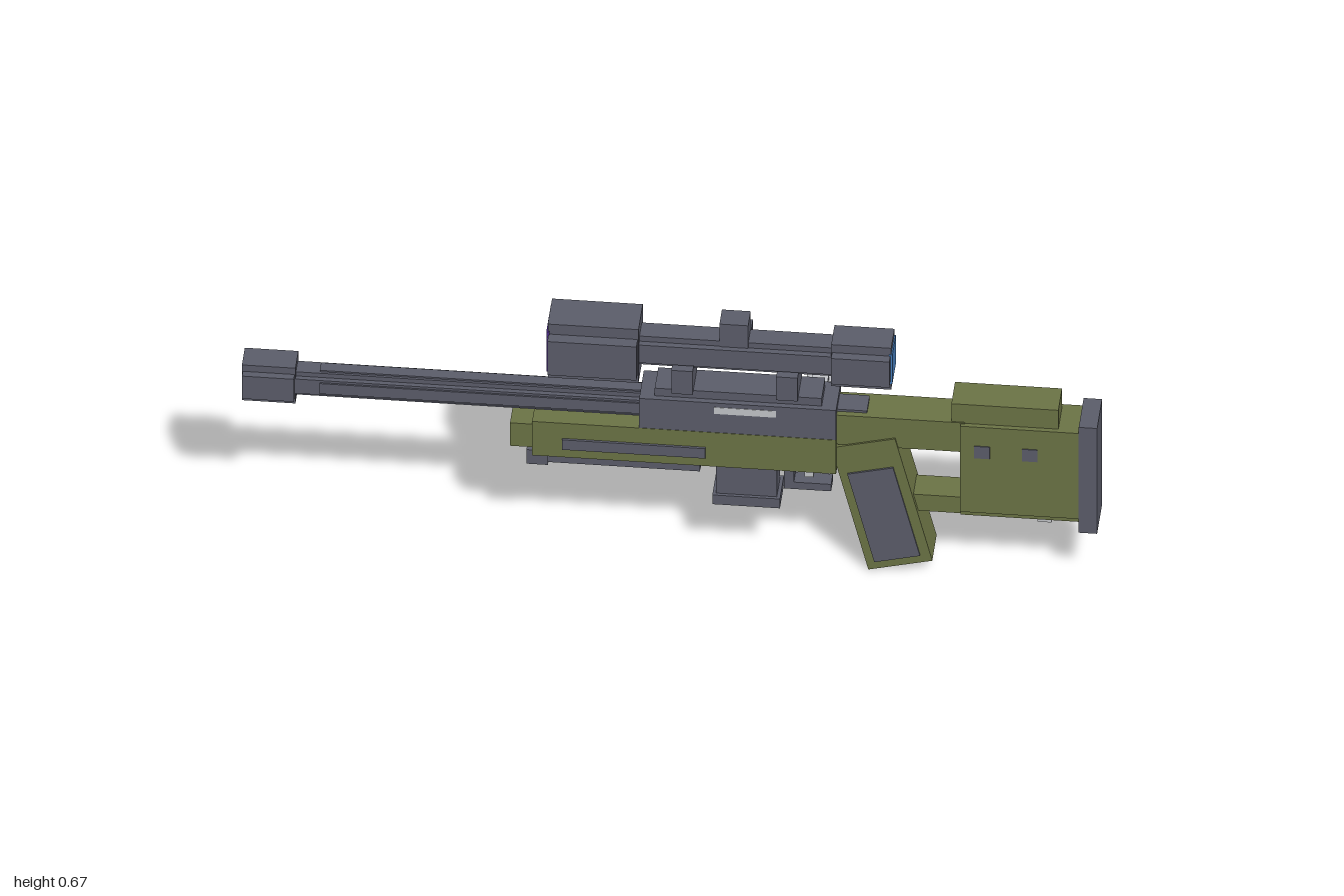
import * as THREE from 'three';

const mat = (name, color) => {
  const m = new THREE.MeshStandardMaterial({ color });
  m.name = name;
  return m;
};

export function createModel() {
  const gun = new THREE.Group();
  gun.name = 'rifle';
  const metal = mat('gunmetal', 0x5c5e6b);
  const olive = mat('olive', 0x6d7546);
  const steel = mat('lightSteel', 0xc6c8cc);
  const blue = mat('blueLens', 0x4880c0);
  const purple = mat('purpleLens', 0x4c2c88);
  const Z = 0.046; // centre plane of the rifle

  // box from its limits along each axis
  const box = (name, m, x0, x1, y0, y1, z0, z1, parent = gun) => {
    const mesh = new THREE.Mesh(new THREE.BoxGeometry(x1 - x0, y1 - y0, z1 - z0), m);
    mesh.position.set((x0 + x1) / 2, (y0 + y1) / 2, (z0 + z1) / 2);
    mesh.name = name;
    parent.add(mesh);
    return mesh;
  };
  // box of width w, symmetric about the centre plane
  const mid = (name, m, x0, x1, y0, y1, w, parent) =>
    box(name, m, x0, x1, y0, y1, Z - w / 2, Z + w / 2, parent);
  // two crossed boxes forming a stepped round section, a = long side, b = short side
  const round = (name, m, x0, x1, y, a, b) => {
    const g = new THREE.Group();
    g.name = name;
    mid('tall', m, x0, x1, y - a / 2, y + a / 2, b, g);
    mid('wide', m, x0 + 0.002, x1 - 0.002, y - b / 2, y + b / 2, a, g);
    gun.add(g);
  };

  // barrel and muzzle
  round('muzzle', metal, -1, -0.875, 0.426, 0.103, 0.066);
  round('barrel', metal, -0.878, -0.07, 0.425, 0.066, 0.042);
  round('barrelSleeve', metal, -0.82, -0.07, 0.425, 0.074, 0.03);

  // receiver, rail and ejection ports
  mid('receiver', metal, -0.07, 0.39, 0.38, 0.468, 0.108);
  mid('rail', metal, -0.035, 0.355, 0.465, 0.49, 0.08);
  mid('boltRear', metal, 0.38, 0.46, 0.43, 0.454, 0.06);
  mid('ejectionPort', steel, 0.105, 0.25, 0.437, 0.456, 0.11);

  // bolt handle, with dark rear and under faces
  const boltFaces = [metal, steel, steel, metal, steel, steel];
  box('boltArm', boltFaces, 0.318, 0.355, 0.41, 0.437, -0.075, 0);
  box('boltKnob', boltFaces, 0.303, 0.375, 0.365, 0.422, -0.123, -0.07);

  // fore-end
  mid('foreEnd', olive, -0.32, 0.39, 0.283, 0.382, 0.11);
  mid('foreEndTip', olive, -0.372, -0.3, 0.303, 0.37, 0.1);
  mid('foreEndPanels', metal, -0.25, 0.085, 0.309, 0.338, 0.122);

  // folded bipod
  mid('bipodPivot', metal, -0.335, -0.285, 0.244, 0.285, 0.075);
  for (const s of [-1, 1])
    box('bipodLeg', metal, -0.29, 0.07, 0.25, 0.27, Z + s * 0.024 - 0.01, Z + s * 0.024 + 0.01);
  mid('bipodClip', metal, 0.04, 0.07, 0.248, 0.285, 0.05);

  // magazine and trigger
  mid('magazine', metal, 0.108, 0.25, 0.17, 0.285, 0.074);
  mid('magazineBase', metal, 0.1, 0.258, 0.165, 0.192, 0.09);
  mid('guardPost', metal, 0.265, 0.288, 0.205, 0.285, 0.04);
  mid('guardBar', metal, 0.265, 0.375, 0.205, 0.225, 0.04);
  mid('trigger', steel, 0.312, 0.333, 0.235, 0.285, 0.02);

  // raked pistol grip
  const tilt = 14 * Math.PI / 180;
  const grip = mid('grip', olive, 0.419, 0.573, 0.019, 0.379, 0.099);
  grip.rotation.z = tilt;
  const panel = mid('gripPanels', metal, 0.446, 0.556, 0.041, 0.301, 0.108);
  panel.rotation.z = tilt;

  // stock
  mid('stockArm', olive, 0.388, 0.69, 0.363, 0.448, 0.09);
  mid('stockLowerArm', olive, 0.56, 0.69, 0.178, 0.225, 0.075);
  mid('stock', olive, 0.68, 0.958, 0.195, 0.445, 0.108);
  mid('stockUnderside', olive, 0.68, 0.958, 0.178, 0.2, 0.085);
  mid('cheekRest', olive, 0.658, 0.908, 0.44, 0.5, 0.084);
  mid('buttPad', metal, 0.957, 1, 0.157, 0.465, 0.113);
  mid('slingSwivel', steel, 0.857, 0.89, 0.153, 0.18, 0.038);
  for (const x of [0.712, 0.824]) mid('stockPins', metal, x, x + 0.037, 0.355, 0.39, 0.112);

  // scope
  round('scopeFrontBell', metal, -0.284, -0.072, 0.587, 0.156, 0.098);
  mid('frontLens', purple, -0.287, -0.28, 0.53, 0.645, 0.107);
  round('scopeTube', metal, -0.075, 0.38, 0.588, 0.082, 0.052);
  round('scopeRearBell', metal, 0.377, 0.517, 0.587, 0.121, 0.075);
  mid('rearLens', blue, 0.512, 0.52, 0.544, 0.629, 0.078);
  for (const x of [0.005, 0.25]) mid('scopeMount', metal, x, x + 0.05, 0.487, 0.555, 0.106);
  mid('topTurret', metal, 0.115, 0.182, 0.6, 0.68, 0.056);
  box('sideTurret', metal, 0.115, 0.182, 0.56, 0.615, -0.036, Z);

  return gun;
}
